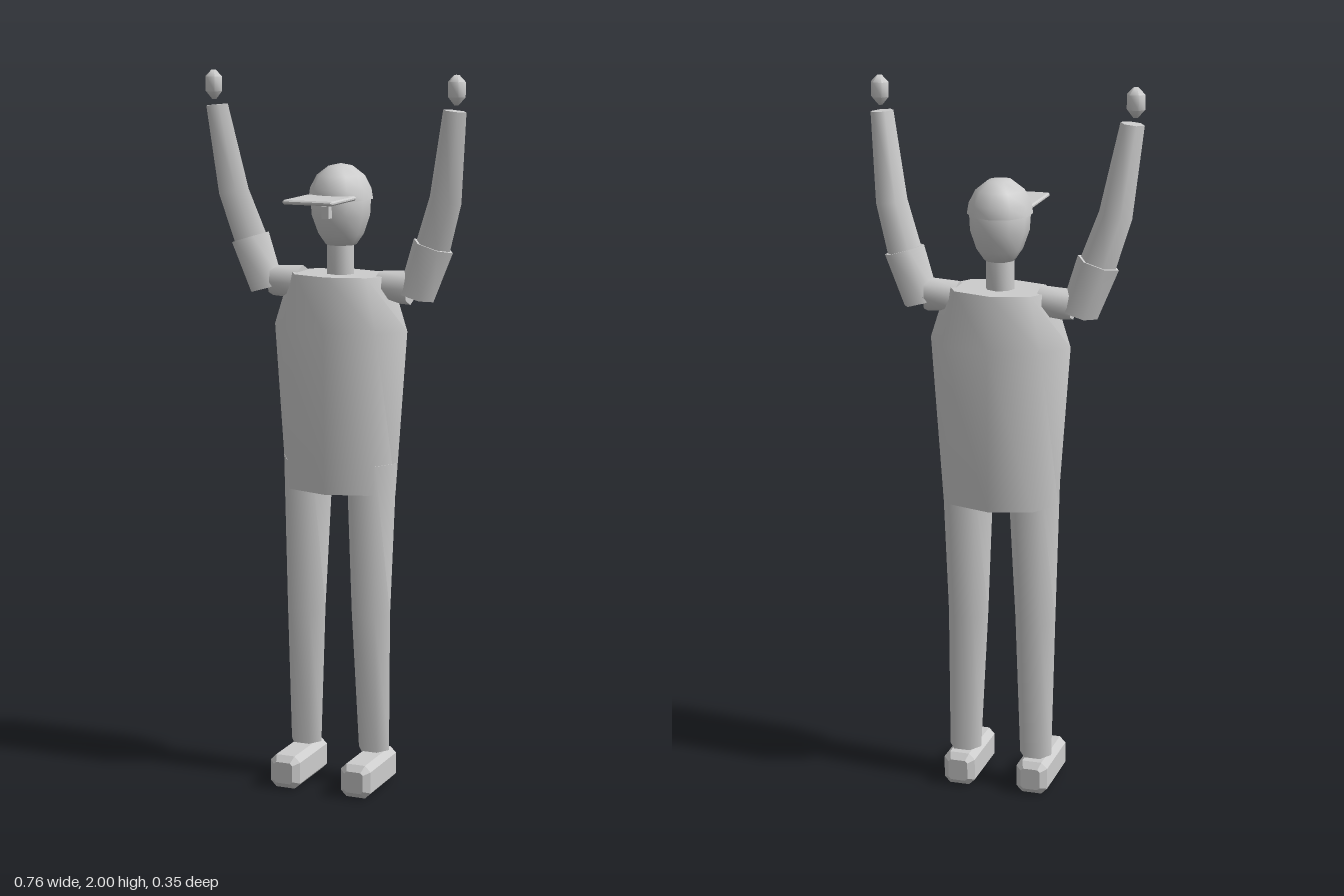
import * as THREE from 'three';
import { toCreasedNormals } from 'three/addons/utils/BufferGeometryUtils.js';

const grey = new THREE.MeshStandardMaterial({ color: 0xcccccc });
grey.name = 'plain grey';

// Closed loft through rings [x, y, z, rx, rz, tilt about z]
function loft(rings, sides, phase = 0, crease = 1.1) {
  const pos = [];
  const pts = rings.map(([x, y, z, rx, rz, t = 0]) =>
    Array.from({ length: sides }, (_, j) => {
      const a = phase + (j / sides) * Math.PI * 2;
      const u = Math.cos(a) * rx;
      return [x + u * Math.cos(t), y + u * Math.sin(t), z + Math.sin(a) * rz];
    }));
  const tri = (a, b, c) => pos.push(...a, ...b, ...c);
  for (let i = 0; i < pts.length - 1; i++) {
    for (let j = 0; j < sides; j++) {
      const k = (j + 1) % sides;
      tri(pts[i][j], pts[i + 1][j], pts[i + 1][k]);
      tri(pts[i][j], pts[i + 1][k], pts[i][k]);
    }
  }
  const last = pts.length - 1;
  for (let j = 0; j < sides; j++) {
    const k = (j + 1) % sides;
    tri(rings[0].slice(0, 3), pts[0][j], pts[0][k]);
    tri(rings[last].slice(0, 3), pts[last][k], pts[last][j]);
  }
  const g = new THREE.BufferGeometry();
  g.setAttribute('position', new THREE.Float32BufferAttribute(pos, 3));
  return toCreasedNormals(g, crease);
}

// Box with one flat chamfer along every edge
function chamferBox(w, h, d, b) {
  const s = new THREE.Shape();
  const x = w / 2, y = h / 2;
  s.moveTo(-x + b, -y).lineTo(x - b, -y).lineTo(x, -y + b).lineTo(x, y - b);
  s.lineTo(x - b, y).lineTo(-x + b, y).lineTo(-x, y - b).lineTo(-x, -y + b).closePath();
  const g = new THREE.ExtrudeGeometry(s, {
    depth: d - 2 * b, bevelEnabled: true, bevelThickness: b, bevelSize: b, bevelOffset: -b, bevelSegments: 1,
  });
  return g.translate(0, 0, -d / 2 + b);
}

export function createModel() {
  const model = new THREE.Group();
  model.name = 'figure';
  const add = (name, geometry, x = 0, y = 0, z = 0) => {
    const m = new THREE.Mesh(geometry, grey);
    m.name = name;
    m.position.set(x, y, z);
    model.add(m);
    return m;
  };

  // Torso, neck and head
  add('torso', loft([
    [0, 0.85, -0.054, 0.166, 0.117],
    [0, 1.3, -0.054, 0.198, 0.123],
    [0, 1.45, -0.054, 0.15, 0.103],
  ], 8));
  add('neck', loft([[0, 1.42, -0.055, 0.04, 0.04], [0, 1.56, -0.055, 0.04, 0.04]], 8));
  add('head', loft([
    [0, 1.53, -0.058, 0.042, 0.045],
    [0, 1.56, -0.058, 0.062, 0.07],
    [0, 1.61, -0.056, 0.079, 0.09],
    [0, 1.66, -0.055, 0.082, 0.092],
    [0, 1.71, -0.055, 0.06, 0.07],
  ], 10, Math.PI / 2));
  add('nose', new THREE.BoxGeometry(0.02, 0.034, 0.035), 0, 1.627, 0.037);

  // Cap, lower at the back, with a flat brim
  add('cap', loft([
    [0, 1.655, -0.055, 0.088, 0.095],
    [0, 1.685, -0.055, 0.083, 0.092],
    [0, 1.72, -0.055, 0.065, 0.073],
    [0, 1.745, -0.055, 0.033, 0.038],
    [0, 1.752, -0.055, 0.001, 0.001],
  ], 10, Math.PI / 2));
  add('capBrim', chamferBox(0.144, 0.012, 0.17, 0.004), 0, 1.664, 0.092);

  for (const [side, s] of [['left', 1], ['right', -1]]) {
    // Legs and shoes
    add(side + 'Leg', loft([
      [s * 0.104, 0.1, -0.053, 0.046, 0.043],
      [s * 0.098, 0.5, -0.041, 0.058, 0.053],
      [s * 0.095, 0.93, -0.05, 0.075, 0.075],
    ], 6));
    add(side + 'Shoe', chamferBox(0.09, 0.095, 0.226, 0.017), s * 0.107, 0.0475, -0.006);

    // Raised arms
    const shoulder = new THREE.CylinderGeometry(0.042, 0.047, 0.09, 8);
    shoulder.rotateZ(Math.PI / 2);
    add(side + 'Shoulder', toCreasedNormals(shoulder, 1.1), s * 0.16, 1.42, -0.057);
    add(side + 'Sleeve', loft([
      [s * 0.222, 1.398, -0.057, 0.052, 0.055, s * -0.28],
      [s * 0.272, 1.538, -0.053, 0.059, 0.051, s * -0.3],
    ], 6));
    add(side + 'Arm', loft([
      [s * 0.24, 1.45, -0.055, 0.045, 0.043, s * -0.3],
      [s * 0.272, 1.538, -0.053, 0.05, 0.045, s * -0.3],
      [s * 0.313, 1.665, -0.035, 0.046, 0.04, s * -0.2],
      [s * 0.348, 1.905, -0.005, 0.033, 0.028, s * -0.1],
    ], 6));
    add(side + 'Hand', loft([
      [s * 0.354, 1.92, 0, 0.006, 0.006],
      [s * 0.355, 1.942, 0, 0.025, 0.024],
      [s * 0.355, 1.982, 0, 0.025, 0.024],
      [s * 0.355, 2.0, 0, 0.007, 0.007],
    ], 6));
  }
  return model;
}
